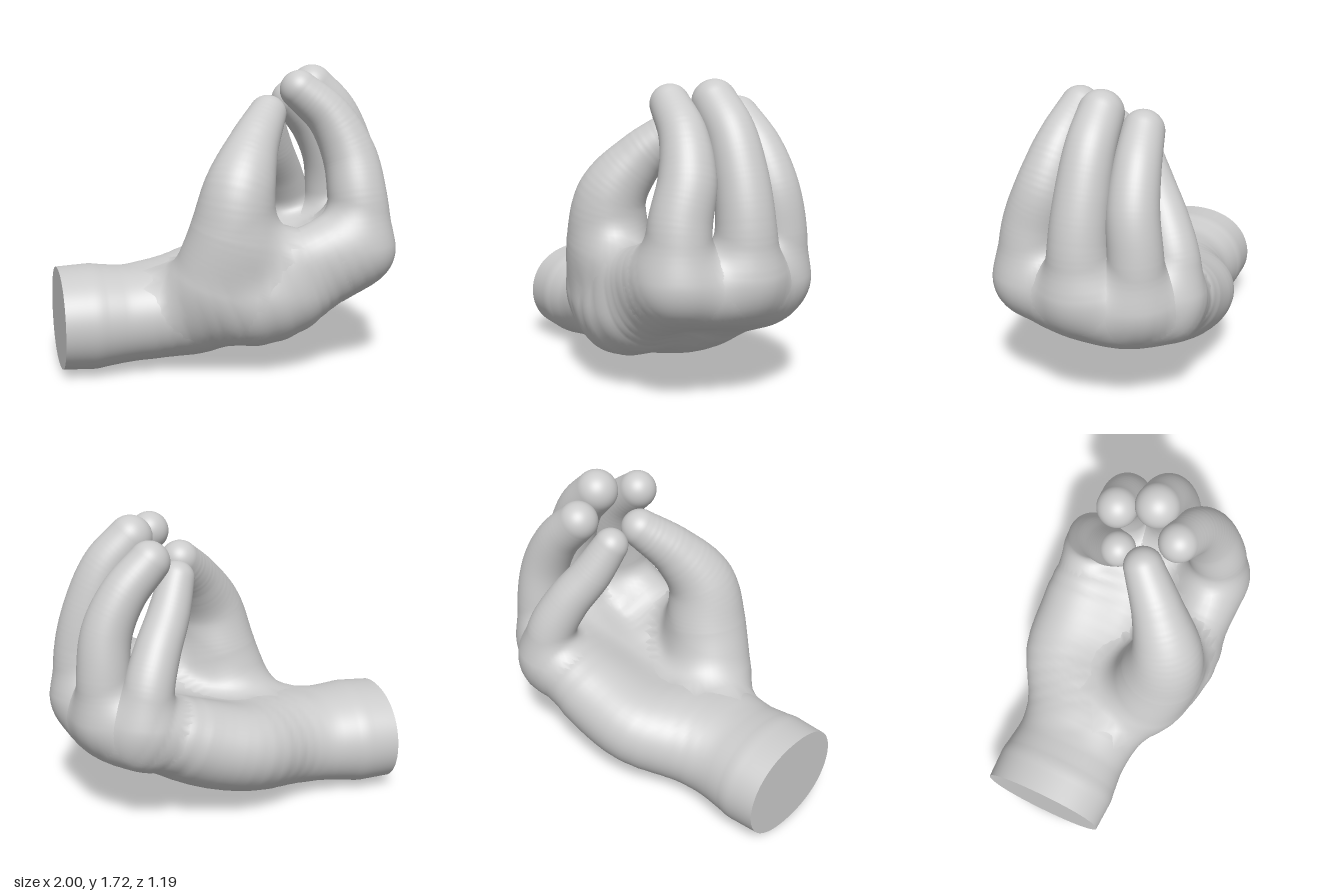
import * as THREE from 'three';

// A limb is a smooth spine of [x, y, z, radius] knots, sampled into short tapered segments.
function limb(knots, steps) {
  const curve = new THREE.CatmullRomCurve3(knots.map(k => new THREE.Vector3(k[0], k[1], k[2])));
  const radius = new THREE.CatmullRomCurve3(knots.map(k => new THREE.Vector3(k[3], 0, 0)));
  const samples = [];
  for (let i = 0; i <= steps; i++) {
    const p = curve.getPoint(i / steps);
    samples.push([p.x, p.y, p.z, radius.getPoint(i / steps).x]);
  }
  return { curve, samples };
}

// Signed distance to a limb
function limbDistance({ samples }, x, y, z) {
  let best = Infinity;
  for (let i = 0; i < samples.length - 1; i++) {
    const a = samples[i], b = samples[i + 1];
    const ux = b[0] - a[0], uy = b[1] - a[1], uz = b[2] - a[2];
    const px = x - a[0], py = y - a[1], pz = z - a[2];
    const t = Math.min(1, Math.max(0, (px * ux + py * uy + pz * uz) / (ux * ux + uy * uy + uz * uz)));
    const dx = px - ux * t, dy = py - uy * t, dz = pz - uz * t;
    best = Math.min(best, Math.sqrt(dx * dx + dy * dy + dz * dz) - a[3] - (b[3] - a[3]) * t);
  }
  return best;
}

// Smooth union of two distances
function blend(a, b, k) {
  const h = Math.max(0, k - Math.abs(a - b));
  return Math.min(a, b) - h * h / (4 * k);
}

// Volumes under the skin of the forearm and palm
const palmBones = [
  // forearm
  limb([[-1.2, 0.272, 0.09, 0.252], [-0.65, 0.272, 0.09, 0.252], [-0.3, 0.29, 0.1, 0.23]], 6),
  limb([[-1.2, 0.272, -0.115, 0.252], [-0.65, 0.272, -0.11, 0.252], [-0.3, 0.29, -0.1, 0.23]], 6),
  // metacarpals, index to little finger
  limb([[-0.4, 0.3, 0.12, 0.17], [-0.05, 0.36, 0.29, 0.23], [0.35, 0.49, 0.34, 0.23], [0.66, 0.66, 0.36, 0.18]], 14),
  limb([[-0.4, 0.28, 0, 0.17], [0, 0.3, 0, 0.24], [0.4, 0.42, 0, 0.23], [0.78, 0.67, 0.01, 0.18]], 14),
  limb([[-0.4, 0.3, -0.1, 0.17], [0, 0.33, -0.2, 0.23], [0.4, 0.47, -0.22, 0.21], [0.7, 0.64, -0.25, 0.165]], 14),
  limb([[-0.4, 0.3, -0.13, 0.17], [-0.12, 0.37, -0.33, 0.21], [0.18, 0.46, -0.36, 0.215], [0.55, 0.64, -0.39, 0.15]], 14),
  // knuckle row
  limb([[0.64, 0.62, 0.36, 0.16], [0.74, 0.6, 0.18, 0.17], [0.77, 0.59, 0, 0.165],
    [0.71, 0.54, -0.2, 0.16], [0.57, 0.52, -0.41, 0.13]], 16),
  // web between thumb and index finger
  limb([[0.05, 0.69, 0.38, 0.14], [0.3, 0.66, 0.41, 0.125], [0.55, 0.72, 0.38, 0.14]], 8),
];

// Thumb and fingers, from root to tip; k is how softly each one joins the palm
const digits = [
  { name: 'thumb', k: 0.13, knots: [[-0.15, 0.5, 0.28, 0.25], [-0.07, 0.76, 0.33, 0.24],
    [-0.025, 1.02, 0.335, 0.2], [0.08, 1.235, 0.225, 0.148], [0.22, 1.415, 0.065, 0.11]] },
  { name: 'indexFinger', k: 0.08, knots: [[0.69, 0.67, 0.37, 0.185], [0.67, 0.95, 0.35, 0.17],
    [0.645, 1.18, 0.285, 0.155], [0.54, 1.4, 0.235, 0.13], [0.365, 1.56, 0.2, 0.11]] },
  { name: 'middleFinger', k: 0.08, knots: [[0.79, 0.7, 0.015, 0.19], [0.8, 0.95, 0.02, 0.16],
    [0.745, 1.2, 0.015, 0.147], [0.65, 1.42, 0.012, 0.134], [0.51, 1.572, 0.012, 0.124]] },
  { name: 'ringFinger', k: 0.08, knots: [[0.72, 0.64, -0.275, 0.165], [0.73, 0.9, -0.27, 0.148],
    [0.7, 1.12, -0.245, 0.14], [0.6, 1.32, -0.225, 0.128], [0.45, 1.482, -0.2, 0.115]] },
  { name: 'littleFinger', k: 0.08, knots: [[0.53, 0.64, -0.415, 0.155], [0.51, 0.82, -0.4, 0.142],
    [0.445, 1.0, -0.325, 0.13], [0.35, 1.18, -0.21, 0.118], [0.28, 1.355, -0.115, 0.1]] },
];
for (const d of digits) Object.assign(d, limb(d.knots, 36));

function palmField(x, y, z) {
  return palmBones.reduce((d, bone) => blend(d, limbDistance(bone, x, y, z), 0.16), 10);
}

// Push a point out along a direction until the field reaches zero, or the limit is spent
function pushOut(p, dir, field, limit) {
  for (let i = 0, moved = 0; i < 32 && moved < limit; i++) {
    const step = Math.min(-field(p.x, p.y, p.z) * 0.9, limit - moved);
    if (step < 0.0004) break;
    p.addScaledVector(dir, step);
    moved += step;
  }
}

function skinNormal(p, f) {
  const e = 0.012;
  return new THREE.Vector3(
    f(p.x + e, p.y, p.z) - f(p.x - e, p.y, p.z),
    f(p.x, p.y + e, p.z) - f(p.x, p.y - e, p.z),
    f(p.x, p.y, p.z + e) - f(p.x, p.y, p.z - e)).normalize();
}

// Sweep rings along a spine with rounded ends; the start may be left open.
// Each point lands on the part's own surface, then swells by up to `swell` into its blended skin.
function sweep(curve, own, skin, { along, around, capRings, swell = 0, openStart = false }) {
  const rings = [];
  if (!openStart) for (let i = 0; i < capRings; i++) rings.push([0, (i / capRings - 1) * Math.PI / 2]);
  for (let i = 0; i <= along; i++) rings.push([i / along, 0]);
  for (let i = 1; i <= capRings; i++) rings.push([1, (i / capRings) * Math.PI / 2]);

  const positions = [], normals = [], index = [];
  rings.forEach(([t, tilt], r) => {
    const centre = curve.getPoint(t), tangent = curve.getTangent(t);
    const side = new THREE.Vector3(0, 0, 1).addScaledVector(tangent, -tangent.z).normalize();
    const up = side.clone().cross(tangent);
    for (let j = 0; j <= around; j++) {
      const a = (j % around) / around * Math.PI * 2;
      const dir = up.clone().multiplyScalar(Math.cos(a)).addScaledVector(side, Math.sin(a))
        .multiplyScalar(Math.cos(tilt)).addScaledVector(tangent, Math.sin(tilt));
      const p = centre.clone();
      pushOut(p, dir, own, Infinity);
      pushOut(p, dir, skin, swell);
      positions.push(p.x, p.y, p.z);
      normals.push(...skinNormal(p, skin).toArray());
      if (r < rings.length - 1 && j < around) {
        const v = r * (around + 1) + j, w = v + around + 1;
        index.push(v, v + 1, w, v + 1, w + 1, w);
      }
    }
  });
  const geometry = new THREE.BufferGeometry();
  geometry.setAttribute('position', new THREE.Float32BufferAttribute(positions, 3));
  geometry.setAttribute('normal', new THREE.Float32BufferAttribute(normals, 3));
  geometry.setIndex(index);
  return geometry;
}

export function createModel() {
  const group = new THREE.Group();
  const material = new THREE.MeshStandardMaterial({ color: 0xcccccc });
  const add = (name, geometry) => {
    const mesh = new THREE.Mesh(geometry, material);
    mesh.name = name;
    group.add(mesh);
  };

  // Forearm and palm in one skin
  const around = 112;
  const spine = new THREE.CatmullRomCurve3([[-1, 0.27, 0], [-0.7, 0.27, 0], [-0.4, 0.28, 0],
    [0, 0.34, 0], [0.35, 0.47, 0], [0.6, 0.58, 0]].map(p => new THREE.Vector3(...p)));
  const palm = sweep(spine, palmField, palmField, { along: 72, around, capRings: 28, openStart: true });
  add('forearmAndPalm', palm);

  // Flat cut end of the forearm, fitted to the first ring
  const cut = new THREE.CircleGeometry(1, around);
  const rim = palm.attributes.position, disc = cut.attributes.position;
  disc.setXYZ(0, -1, 0.27, 0);
  for (let j = 0; j <= around; j++) {
    const s = around - j;
    disc.setXYZ(j + 1, rim.getX(s), rim.getY(s), rim.getZ(s));
  }
  cut.computeVertexNormals();
  add('forearmEnd', cut);

  // Thumb and four fingers, each melting into the palm
  for (const d of digits) {
    const own = (x, y, z) => limbDistance(d, x, y, z);
    const skin = (x, y, z) => blend(palmField(x, y, z), own(x, y, z), d.k);
    add(d.name, sweep(d.curve, own, skin, { along: 64, around: 48, capRings: 12, swell: d.k * 1.5 }));
  }
  return group;
}
